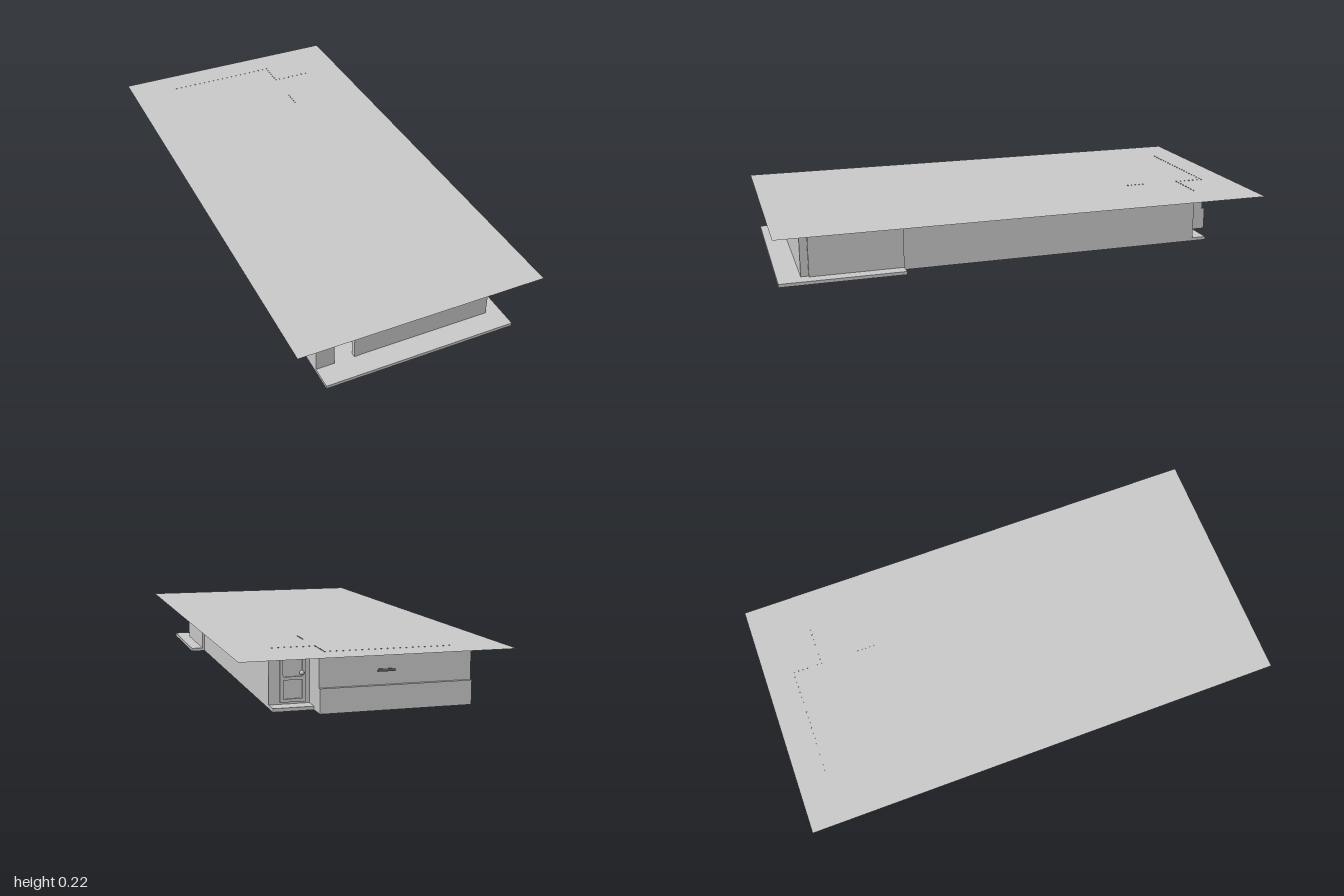
import * as THREE from 'three';

const paint = (color) => new THREE.MeshStandardMaterial({ color, side: THREE.DoubleSide });
const GREY = paint(0xcccccc), TAN = paint(0xc8b48c), DARK = paint(0x666666);
const BLUE = paint(0x6f8fd0), RED = paint(0xcc1111);

export function createModel() {
  const house = new THREE.Group();
  house.name = 'house';

  const add = (name, geometry, material = GREY) => {
    const mesh = new THREE.Mesh(geometry, material);
    mesh.name = name;
    house.add(mesh);
    return mesh;
  };
  // Box given by its limits on each axis
  const box = (name, [x0, x1], [y0, y1], [z0, z1], material) => {
    const g = new THREE.BoxGeometry(x1 - x0, y1 - y0, z1 - z0);
    return add(name, g.translate((x0 + x1) / 2, (y0 + y1) / 2, (z0 + z1) / 2), material);
  };
  const outline = (points) => points.map(([x, z]) => new THREE.Vector2(x, -z));

  const floorY = 0.013, roofY = 0.217, t = 0.02;
  const full = [0, roofY - 0.001];

  // Floor slab with front terrace, side landing, rear step and an opening at the rear
  const slab = new THREE.Shape(outline([
    [-0.38, 0.98], [0.4, 0.98], [0.4, 0.49], [0.34, 0.49], [0.34, -0.82],
    [0.19, -0.82], [0.19, -0.89], [-0.38, -0.89],
  ]));
  slab.holes.push(
    new THREE.Path(outline([[-0.36, -0.56], [-0.2, -0.57], [0, -0.63], [0, -0.7], [-0.2, -0.68], [-0.36, -0.66]])),
    new THREE.Path(outline([[0.05, -0.58], [0.1, -0.58], [0.1, -0.63], [0.05, -0.63]])));
  add('floorSlab', new THREE.ExtrudeGeometry(slab, { depth: floorY, bevelEnabled: false }).rotateX(-Math.PI / 2));

  // Thin flat roof
  add('roof', new THREE.PlaneGeometry(1, 2).rotateX(-Math.PI / 2).translate(0, roofY, 0));

  // Outer walls
  box('rightWall', [-0.38, -0.38 + t], full, [-0.88, 0.89]);
  box('leftWall', [0.34 - t, 0.34], full, [-0.76, 0.89]);
  box('frontPier', [-0.38, -0.31], full, [0.87, 0.89]);
  box('frontWall', [-0.225, 0.34], full, [0.87, 0.89]);
  box('frontLintel', [-0.31, -0.225], [0.197, full[1]], [0.87, 0.89]);
  box('rearEntryWall', [0.19, 0.34], full, [-0.76, -0.74]);
  box('rearSideWall', [0.17, 0.19], full, [-0.88, -0.74]);
  box('rearUpperWall', [-0.38, 0.19], [0.085, full[1]], [-0.88, -0.86]);
  box('rearLowerWall', [-0.38, 0.19], [0, 0.09], [-0.893, -0.86]);
  box('rearWallSlot', [-0.09, -0.025], [0.137, 0.147], [-0.884, -0.88], DARK);

  // Wide panel on the left side
  box('sidePanel', [0.34, 0.35], [floorY, 0.202], [0.49, 0.86]);

  // Front entrance: frame, side lining and the hall behind it
  box('entryFramePost', [-0.31, -0.306], [floorY, 0.197], [0.865, 0.89], TAN);
  box('entryFrameHead', [-0.31, -0.225], [0.193, 0.197], [0.865, 0.89], TAN);
  box('entryLining', [-0.314, -0.31], [floorY, 0.197], [0.68, 0.87], TAN);
  box('hallCabinet', [-0.309, -0.288], [floorY, 0.13], [0.3, 0.34], DARK);
  box('hallCabinetSign', [-0.309, -0.3], [0.09, 0.11], [0.34, 0.345], RED);
  box('hallLowWall', [-0.288, -0.15], [floorY, 0.1], [0.1, 0.12]);
  box('hallBackWall', [-0.36, 0.32], [floorY, full[1]], [-0.5, -0.48]);
  box('hallSideWall', [-0.2, -0.18], [floorY, full[1]], [-0.48, 0.87]);

  // Rear door with raised frame, glazing and handle
  const door = { x: [0.205, 0.3], y: [0.02, 0.205] };
  for (const x of [door.x[0], door.x[1] - 0.012])
    box('rearDoorStile', [x, x + 0.012], door.y, [-0.766, -0.76]);
  for (const y of [door.y[0], 0.1, door.y[1] - 0.012])
    box('rearDoorRail', door.x, [y, y + 0.012], [-0.766, -0.76]);
  const knob = add('rearDoorKnob', new THREE.SphereGeometry(0.009, 12, 8));
  knob.position.set(0.22, 0.125, -0.768);

  // Windows in the right wall
  for (const [z0, z1] of [[0.115, 0.21], [0.48, 0.565]]) {
    box('windowFrame', [-0.382, -0.378], [0.04, 0.18], [z0, z1], DARK);
    box('windowGlass', [-0.384, -0.379], [0.046, 0.174], [z0 + 0.007, z1 - 0.007], BLUE);
  }

  // Rows of small studs breaking through the roof above the rear walls
  const studRow = ([x0, z0], [x1, z1], count) => {
    for (let i = 0; i < count; i++) {
      const k = i / (count - 1), x = x0 + (x1 - x0) * k, z = z0 + (z1 - z0) * k;
      box('roofStud', [x - 0.002, x + 0.002], [0.214, 0.22], [z - 0.002, z + 0.002]);
    }
  };
  studRow([-0.295, -0.88], [0.15, -0.88], 20);
  studRow([0.17, -0.88], [0.17, -0.76], 7);
  studRow([0.19, -0.76], [0.328, -0.76], 7);
  studRow([0.17, -0.6], [0.17, -0.53], 5);

  return house;
}
